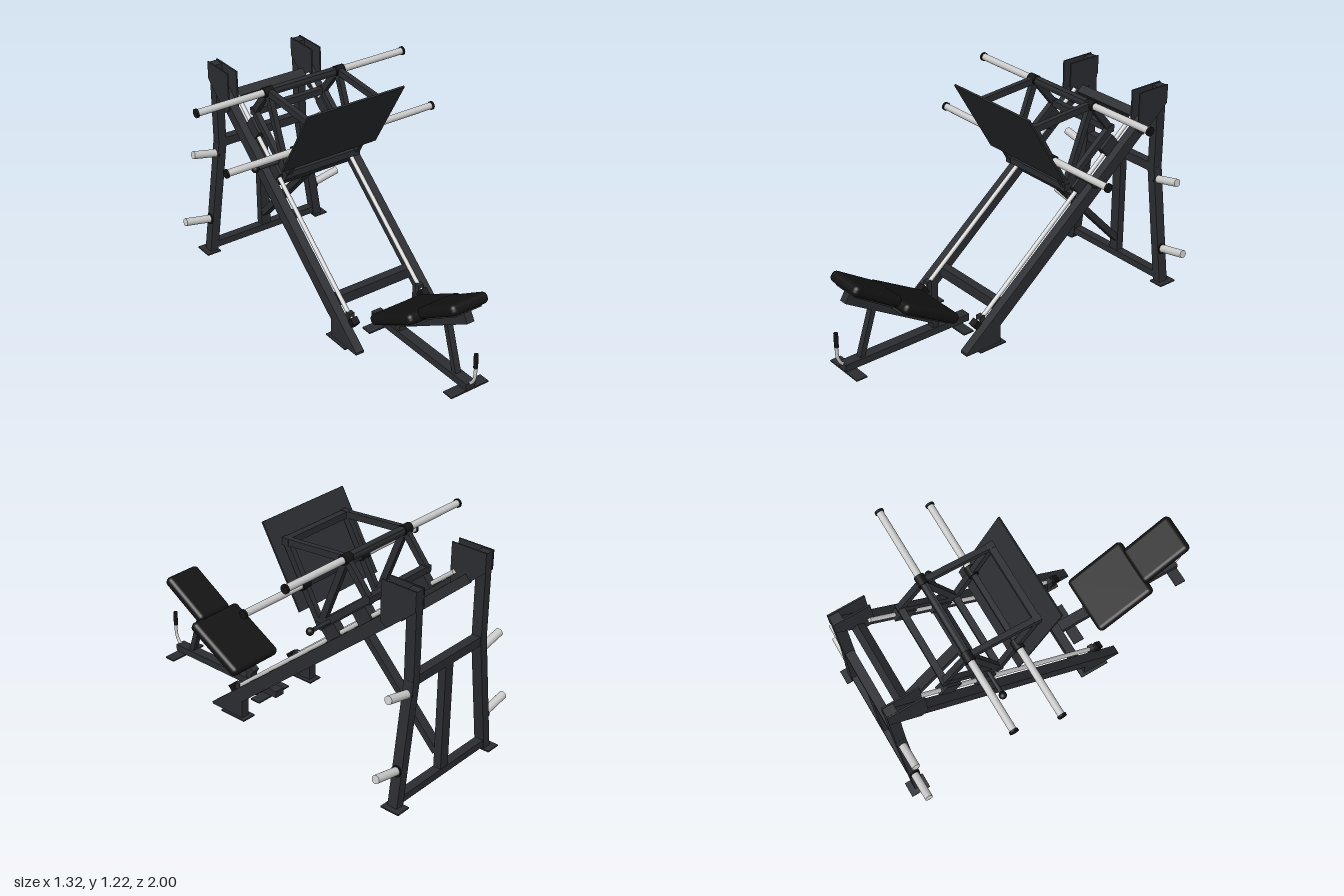
import * as THREE from 'three';
import { RoundedBoxGeometry } from 'three/addons/geometries/RoundedBoxGeometry.js';

const material = (color) => new THREE.MeshStandardMaterial({ color });
const V = (x, y, z) => new THREE.Vector3(x, y, z);

export function createModel() {
  const model = new THREE.Group();
  const frame = material(0x2b2d31);
  const black = material(0x131313);
  const chrome = material(0xcccccc);
  const plateMat = material(0x2b2d31);

  const add = (name, geometry, mat, parent = model) => {
    const mesh = new THREE.Mesh(geometry, mat);
    mesh.name = name;
    parent.add(mesh);
    return mesh;
  };
  const box = (name, w, h, d, x, y, z, mat = frame) => {
    const m = add(name, new THREE.BoxGeometry(w, h, d), mat);
    m.position.set(x, y, z);
    return m;
  };
  // square tube between two points
  const beam = (name, a, b, w = 0.035, h = w, mat = frame) => {
    const m = add(name, new THREE.BoxGeometry(w, h, a.distanceTo(b)), mat);
    m.position.copy(a).lerp(b, 0.5);
    m.lookAt(b);
    return m;
  };
  // round bar between two points
  const rod = (name, a, b, r, mat = chrome) => {
    const m = add(name, new THREE.CylinderGeometry(r, r, a.distanceTo(b), 24), mat);
    m.position.copy(a).lerp(b, 0.5);
    m.quaternion.setFromUnitVectors(V(0, 1, 0), b.clone().sub(a).normalize());
    return m;
  };
  // side profile of [z, y] points, given a thickness along x
  const profile = (name, points, thickness, x) => {
    const shape = new THREE.Shape(points.map(([z, y]) => new THREE.Vector2(z, y)));
    const g = new THREE.ExtrudeGeometry(shape, { depth: thickness, bevelEnabled: false });
    g.translate(0, 0, -thickness / 2);
    g.rotateY(-Math.PI / 2);
    add(name, g, frame).position.x = x;
  };

  const slope = 0.833;
  const tilt = Math.atan(slope);
  const rodY = (z) => 0.215 + slope * (0.17 - z);

  // sled joints as [z, y]
  const A = [-0.1, 1.12], B = [-0.485, 1.15], C = [-0.325, 0.73], D = [-0.625, 0.98];

  for (const s of [1, -1]) {
    // inclined rail with foot, and guide rod
    profile('sideRail', [[0.395, 0.006], [0.17, 0.006], [0.17, 0.11], [-0.91, 1.01],
      [-0.94, 1.035], [-0.94, 1.12], [0.395, 0.02]], 0.05, s * 0.27);
    box('railFoot', 0.085, 0.008, 0.17, s * 0.267, 0.004, 0.23);
    rod('guideRod', V(s * 0.23, rodY(0.27), 0.27), V(s * 0.23, rodY(-0.79), -0.79), 0.012);
    const stop = box('rodStop', 0.04, 0.06, 0.04, s * 0.23, rodY(0.28), 0.28, black);
    stop.rotation.x = tilt;
    box('rodBracket', 0.035, 0.09, 0.03, s * 0.228, 0.125, 0.25);

    // gusset plates at the head of each post
    for (const x of [0.242, 0.298]) {
      profile('gussetPlate', [[-0.762, 1.165], [-0.762, 0.945], [-0.8, 0.92], [-0.91, 1.01],
        [-0.967, 1.06], [-0.967, 1.165]], 0.008, s * x);
    }

    // rear post, splayed below and upright above
    beam('rearPostLower', V(s * 0.36, 0.005, -0.936), V(s * 0.268, 0.68, -0.936), 0.058, 0.05);
    beam('rearPostUpper', V(s * 0.268, 0.67, -0.936), V(s * 0.268, 1.16, -0.936), 0.048, 0.058);
    box('rearFoot', 0.085, 0.008, 0.11, s * 0.372, 0.004, -0.943);

    // storage pegs for plates
    for (const [x0, y0, x1, y1] of [[0.28, 0.61, 0.443, 0.645], [0.345, 0.205, 0.52, 0.24]]) {
      rod('storagePeg', V(s * x0, y0, -0.936), V(s * x1, y1, -0.936), 0.022);
      const collar = rod('pegCollar', V(s * x0, y0, -0.936), V(s * (x0 + 0.012), y0 + 0.002, -0.936), 0.03, black);
      collar.position.x += s * 0.008;
    }

    // sled side truss
    const j = ([z, y]) => V(s * 0.222, y, z);
    for (const [p, q] of [[A, B], [A, C], [B, C], [B, D], [C, D]]) beam('sledTruss', j(p), j(q), 0.03, 0.036);
    for (const p of [A, C, D]) box('sledJoint', 0.034, 0.04, 0.04, s * 0.222, p[1], p[0]);

    // bearing carriers riding on the guide rods
    for (const z of [-0.415, -0.61]) {
      const b = box('bearingCarrier', 0.05, 0.075, 0.1, s * 0.226, rodY(z) + 0.025, z);
      b.rotation.x = tilt;
    }

    // loading pegs
    for (const [y, z] of [[1.15, -0.485], [0.922, -0.215]]) {
      rod('loadingPeg', V(s * 0.235, y, z), V(s * 0.65, y, z), 0.019);
      rod('loadingPegCap', V(s * 0.648, y, z), V(s * 0.66, y, z), 0.024, black);
      rod('loadingPegCollar', V(s * 0.2, y, z), V(s * 0.255, y, z), 0.028, black);
    }

    // safety handle with ball knob
    rod('safetyHandle', V(s * 0.21, 0.78, -0.39), V(s * 0.375, 0.78, -0.39), 0.011, frame);
    add('handleKnob', new THREE.SphereGeometry(0.021, 20, 14), black).position.set(s * 0.377, 0.78, -0.39);
  }

  // cross members of the fixed frame
  const cross = (name, half, y, z, h, d) => box(name, half * 2, h, d, 0, y, z);
  cross('frontCrossbar', 0.25, 0.188, 0.13, 0.06, 0.05);
  cross('middleCrossbar', 0.25, 0.655, -0.42, 0.06, 0.05).rotation.x = tilt;
  cross('upperCrossbar', 0.25, 0.985, -0.85, 0.05, 0.05).rotation.x = tilt;
  cross('rearCrossbar', 0.26, 0.68, -0.936, 0.05, 0.05);
  cross('rearBaseBar', 0.345, 0.04, -0.936, 0.04, 0.05);
  beam('rearCentrePost', V(0, 0.03, -0.936), V(0, 0.69, -0.936), 0.06, 0.045);
  beam('diagonalBrace', V(0, 0.65, -0.43), V(0, 0.14, -0.915), 0.055, 0.036);

  // cross members of the sled
  for (const [z, y] of [A, C, D]) cross('sledCrossbar', 0.222, y, z, 0.036, 0.036);
  cross('sledAxle', 0.222, 1.15, -0.485, 0.036, 0.036);
  cross('lowerPegBar', 0.222, 0.922, -0.215, 0.03, 0.03);
  add('axleHub', new THREE.CylinderGeometry(0.03, 0.03, 0.47, 24).rotateZ(Math.PI / 2).scale(1, 0.7, 0.7), frame)
    .position.set(0, 1.15, -0.485);

  // foot plate
  beam('footPlate', V(0, 0.805, -0.25), V(0, 1.22, -0.004), 0.6, 0.01, plateMat);

  // seat base
  beam('seatBaseBeam', V(0, 0.032, 0.96), V(0, 0.032, 0.17), 0.06, 0.04);
  box('seatRearFoot', 0.24, 0.008, 0.065, 0, 0.004, 0.925);
  box('seatFrontFoot', 0.24, 0.008, 0.065, 0, 0.004, 0.243);
  beam('seatRail', V(0, 0.425, 0.925), V(0, 0.085, 0.36), 0.045, 0.055);
  beam('seatStrut', V(0, 0.3, 0.77), V(0, 0.045, 0.85), 0.035, 0.03);
  box('seatFrontPost', 0.045, 0.08, 0.04, 0, 0.075, 0.385);

  // pads
  const pad = (name, w, length, y, z, angle) => {
    const m = add(name, new RoundedBoxGeometry(w, 0.06, length, 4, 0.026), black);
    m.position.set(0, y, z);
    m.rotation.x = -angle;
  };
  pad('seatPad', 0.35, 0.385, 0.243, 0.512, 0.52);
  pad('backPad', 0.23, 0.325, 0.425, 0.797, 0.56);
  beam('seatPadBoard', V(0, 0.288, 0.67), V(0, 0.128, 0.39), 0.24, 0.012);
  beam('backPadBoard', V(0, 0.463, 0.92), V(0, 0.317, 0.69), 0.16, 0.012);

  // grab handle at the end of the seat base
  const bend = new THREE.CatmullRomCurve3([V(0, 0.045, 0.955), V(0, 0.06, 0.97), V(0, 0.09, 0.985),
    V(0, 0.12, 0.99), V(0, 0.2, 0.99)]);
  add('grabHandle', new THREE.TubeGeometry(bend, 24, 0.009, 14), chrome);
  rod('grabHandleGrip', V(0, 0.16, 0.99), V(0, 0.242, 0.99), 0.012, black);

  return model;
}
